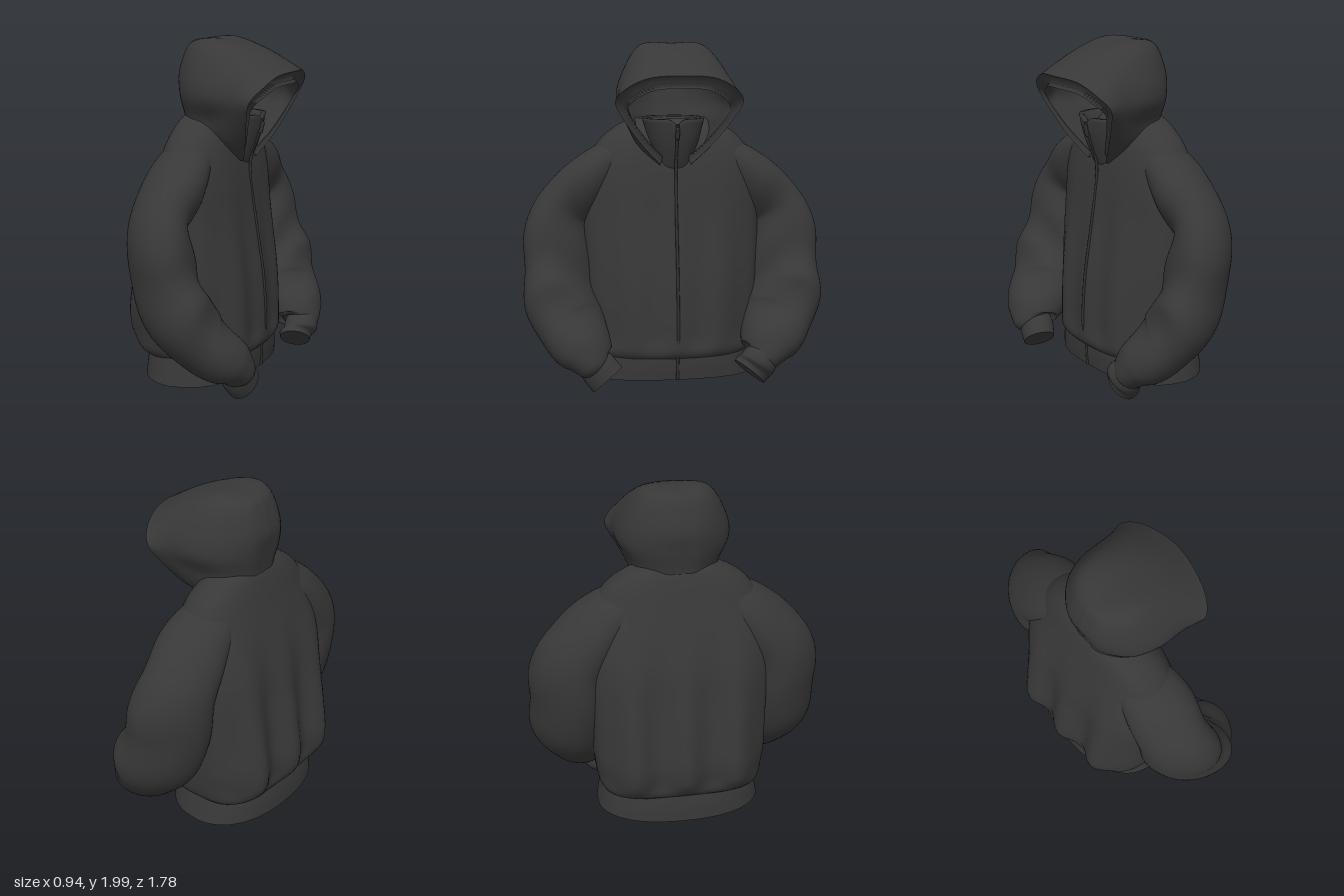
import * as THREE from 'three';

const V = (x, y, z) => new THREE.Vector3(x, y, z);
const { lerp, smoothstep } = THREE.MathUtils;
const spline = pts => new THREE.CatmullRomCurve3(pts, false, 'centripetal');

// Skin a grid of points; closed wraps each row, caps fill the first / last row
function skin(rows, { closed = true, capStart = false, capEnd = false } = {}) {
  const n = rows[0].length, pos = [], idx = [];
  rows.forEach(r => r.forEach(p => pos.push(p.x, p.y, p.z)));
  for (let r = 0; r < rows.length - 1; r++)
    for (let c = 0; c < (closed ? n : n - 1); c++) {
      const a = r * n + c, b = r * n + (c + 1) % n, d = a + n, e = b + n;
      idx.push(a, d, b, b, d, e);
    }
  const cap = (row, flip) => {
    const start = pos.length / 3, mid = V(0, 0, 0);
    row.forEach(p => { mid.addScaledVector(p, 1 / n); pos.push(p.x, p.y, p.z); });
    pos.push(mid.x, mid.y, mid.z);
    for (let c = 0; c < n; c++) {
      const a = start + c, b = start + (c + 1) % n;
      flip ? idx.push(start + n, b, a) : idx.push(start + n, a, b);
    }
  };
  if (capStart) cap(rows[0], false);
  if (capEnd) cap(rows[rows.length - 1], true);
  const g = new THREE.BufferGeometry();
  g.setAttribute('position', new THREE.Float32BufferAttribute(pos, 3));
  g.setIndex(idx);
  g.computeVertexNormals();
  return g;
}

// Horizontal superellipse rings from [y, xBack, xFront, zHalf]; backPower squares the low back
function ringLoft(table, steps, backPower, shape, n = 128) {
  const yx = spline(table.map(t => V(t[0], t[1], t[2])));
  const zs = spline(table.map(t => V(t[0], t[3], 0)));
  const sample = (curve, y) => {
    let lo = 0, hi = 1;
    for (let i = 0; i < 24; i++) {
      const m = (lo + hi) / 2;
      curve.getPoint(m).x < y ? lo = m : hi = m;
    }
    return curve.getPoint(lo);
  };
  const y0 = table[0][0], y1 = table[table.length - 1][0], rows = [];
  for (let i = 0; i <= steps; i++) {
    const y = y0 + (y1 - y0) * i / steps, x = sample(yx, y), h = sample(zs, y).y;
    const row = [];
    for (let c = 0; c < n; c++) {
      const t = c / n * Math.PI * 2, co = Math.cos(t), si = Math.sin(t);
      const e = co < 0 ? lerp(backPower, 2.35, smoothstep(y, 0.8, 1.4)) : 2.5;
      const r = (Math.abs(co) ** e + Math.abs(si) ** e) ** (-1 / e);
      row.push(shape(V((x.y + x.z) / 2 + r * co * (x.z - x.y) / 2, y, r * si * h), co));
    }
    rows.push(row);
  }
  return rows;
}

export function createModel() {
  const group = new THREE.Group();
  const cloth = new THREE.MeshStandardMaterial({ color: 0x383838, side: THREE.DoubleSide });
  cloth.name = 'charcoal cloth';
  const trim = new THREE.MeshStandardMaterial({ color: 0x303030, side: THREE.DoubleSide });
  trim.name = 'dark zip';
  const add = (name, geo, mat = cloth) => {
    const m = new THREE.Mesh(geo, mat);
    m.name = name;
    group.add(m);
  };

  // Torso, with hanging folds gathered at the back and softer ones in front
  const torso = [
    [0.16, -0.36, 0.265, 0.46], [0.2, -0.405, 0.295, 0.49], [0.35, -0.44, 0.297, 0.515],
    [0.6, -0.415, 0.28, 0.525], [0.8, -0.385, 0.25, 0.53], [1.0, -0.355, 0.218, 0.53],
    [1.2, -0.305, 0.19, 0.515], [1.35, -0.26, 0.16, 0.475], [1.45, -0.23, 0.125, 0.405],
    [1.53, -0.2, 0.07, 0.29], [1.56, -0.18, 0.03, 0.21]];
  add('torso', skin(ringLoft(torso, 70, 3.6, (p, co) => {
    const fall = smoothstep(1.35 - p.y, 0, 0.9) * smoothstep(p.y, 0.16, 0.3);
    if (co < 0) p.x -= 0.033 * fall * Math.cos(p.z * Math.PI * 2 / 0.31) * Math.min(1, -co * 2.5);
    else p.x += 0.012 * fall * (Math.cos(p.z * 24) - 1) * Math.min(1, co * 2);
    return p;
  }), { capStart: true, capEnd: true }));

  // Hem band, its lower edge rising toward the front
  const hem = [[0.01, -0.4, 0.265, 0.5], [0.1, -0.395, 0.272, 0.485], [0.19, -0.38, 0.272, 0.47]];
  add('hemBand', skin(ringLoft(hem, 8, 2.3, p => {
    p.y += Math.max(0, p.x + 0.1) * 0.08 * (1 - p.y / 0.19);
    return p;
  }), { capStart: true, capEnd: true }));

  // Sleeves: [x, y, z, half-width front to back, half-width outward]
  const sleeve = [
    [-0.06, 1.36, 0.16, 0.08, 0.06], [-0.06, 1.32, 0.32, 0.165, 0.125],
    [-0.065, 1.17, 0.5, 0.195, 0.165], [-0.075, 0.99, 0.64, 0.185, 0.195],
    [-0.03, 0.75, 0.67, 0.21, 0.213], [0.05, 0.53, 0.665, 0.22, 0.215],
    [0.18, 0.36, 0.61, 0.2, 0.2], [0.3, 0.25, 0.53, 0.16, 0.155],
    [0.335, 0.185, 0.485, 0.125, 0.115], [0.335, 0.18, 0.48, 0.09, 0.09]];
  const cuff = [
    [0.315, 0.2, 0.505, 0.09, 0.09], [0.33, 0.165, 0.48, 0.103, 0.105],
    [0.34, 0.12, 0.45, 0.1, 0.11], [0.35, 0.085, 0.42, 0.092, 0.11]];
  const tube = (table, side, steps, fold, lean) => {
    const path = spline(table.map(t => V(t[0], t[1], t[2])));
    const size = spline(table.map((t, i) => V(t[3], t[4], i * 0.1)));
    const rows = [];
    for (let i = 0; i <= steps; i++) {
      const k = i / steps, c = path.getPoint(k), s = size.getPoint(k), T = path.getTangent(k);
      const U = V(1, 0, 0).addScaledVector(T, -T.x).normalize();
      const W = V(0, 0, 0).crossVectors(T, U), row = [];
      for (let j = 0; j < 64; j++) {
        const a = j / 64 * Math.PI * 2;
        // slanted creases, strongest around the elbow front and forearm
        const ease = Math.sin(Math.PI * k) ** 1.5 * (0.55 + 0.45 * Math.cos(a - 0.4));
        const w = 1 + fold * ease * Math.sin(k * 34 + 2.2 * Math.sin(a) + 1.3 * Math.cos(2 * a));
        const p = c.clone().addScaledVector(U, Math.cos(a) * s.x * w).addScaledVector(W, Math.sin(a) * s.y * w);
        // outer face leans forward; the right forearm is held a little further back
        p.x += lean * Math.sin(a) * Math.sin(Math.PI * k);
        if (side < 0) p.x -= 0.035 * smoothstep(k, 0.5, 0.8);
        p.z *= side;
        p.y = Math.max(p.y, 0);
        row.push(p);
      }
      rows.push(side > 0 ? row : row.reverse());
    }
    return skin(rows.reverse(), { capStart: true, capEnd: true });
  };
  for (const [side, label] of [[1, 'Left'], [-1, 'Right']]) {
    add('sleeve' + label, tube(sleeve, side, 90, 0.07, 0.075));
    add('cuff' + label, tube(cuff, side, 10, 0, 0));
  }

  // Hood: half arches from collar to crown, ordered from the front rim to the back
  const arches = [
    [[0.19, 1.305, 0.09], [0.25, 1.42, 0.2], [0.31, 1.575, 0.315], [0.35, 1.68, 0.365], [0.4, 1.75, 0.31], [0.44, 1.81, 0.19], [0.47, 1.825, 0]],
    [[0.14, 1.3, 0.1], [0.16, 1.42, 0.22], [0.2, 1.57, 0.3], [0.24, 1.68, 0.34], [0.25, 1.8, 0.305], [0.24, 1.91, 0.2], [0.25, 1.945, 0]],
    [[0.1, 1.35, 0.15], [0.06, 1.46, 0.24], [0.05, 1.56, 0.27], [0.05, 1.68, 0.33], [0.04, 1.82, 0.3], [0.03, 1.985, 0.19], [0.03, 1.997, 0]],
    [[0, 1.4, 0.2], [-0.06, 1.48, 0.23], [-0.09, 1.56, 0.23], [-0.1, 1.68, 0.27], [-0.1, 1.82, 0.25], [-0.08, 1.98, 0.17], [-0.08, 1.995, 0]],
    [[-0.15, 1.45, 0.1], [-0.18, 1.5, 0.1], [-0.19, 1.56, 0.1], [-0.21, 1.68, 0.12], [-0.215, 1.8, 0.12], [-0.17, 1.955, 0.09], [-0.155, 1.985, 0]],
    [[-0.17, 1.45, 0], [-0.195, 1.52, 0], [-0.2, 1.56, 0], [-0.22, 1.68, 0], [-0.235, 1.79, 0], [-0.19, 1.95, 0], [-0.17, 1.98, 0]]];
  const bands = arches.map(a => spline([
    ...a.map(p => V(...p)), ...a.slice(0, -1).reverse().map(p => V(p[0], p[1], -p[2]))]));
  const hood = Array.from({ length: 33 }, () => []);
  for (let j = 0; j <= 72; j++) {
    const along = spline(bands.map(b => b.getPoint(j / 72)));
    hood.forEach((row, i) => row.push(along.getPoint(i / 32)));
  }
  add('hood', skin(hood, { closed: false }));

  // Hood lining: a second lip just under the brim, then the inner wall
  const inset = (p, fx, fy, fz) => V(0.05 + (p.x - 0.05) * fx, 1.5 + (p.y - 1.5) * fy, p.z * fz);
  const inner = hood.slice(3).map(r => r.map(p => inset(p, 0.91, 0.86, 0.83)));
  const fold = hood[0].map(p => inset(p, 0.86, 0.88, 0.88));
  const lip = hood[0].map(p => inset(p, 0.95, 0.78, 0.8));
  const rows = [hood[0], fold, lip, ...inner];
  add('hoodLining', skin(rows.map(r => [...r].reverse()), { closed: false }));

  // Stand-up collar inside the hood opening
  const collar = [[1.25, -0.05, 0.16, 0.1], [1.32, -0.08, 0.195, 0.11], [1.45, -0.1, 0.24, 0.15], [1.57, -0.12, 0.262, 0.18]];
  const dip = p => { p.y -= 0.03 * Math.exp(-((p.z / 0.03) ** 2)) * (p.y > 1.5 && p.x > 0 ? 1 : 0); return p; };
  const rings = ringLoft(collar, 14, 2.35, dip);
  const edge = (f, drop) => rings[rings.length - 1].map(p => V(0.07 + (p.x - 0.07) * f, p.y - drop, p.z * f));
  add('collar', skin([...rings, edge(0.88, 0), edge(0.8, 0.06)], { capEnd: true }));

  // Zip: raised placket strip and pull tab
  const line = spline([
    V(0.268, 0.04, 0), V(0.275, 0.18, 0), V(0.297, 0.3, 0), V(0.281, 0.6, 0), V(0.251, 0.8, 0),
    V(0.219, 1.0, 0), V(0.191, 1.2, 0), V(0.197, 1.32, 0), V(0.242, 1.45, 0), V(0.264, 1.54, 0)]);
  add('zip', new THREE.TubeGeometry(line, 80, 0.009, 8), trim);
  const pull = new THREE.CapsuleGeometry(0.012, 0.05, 4, 10);
  pull.rotateZ(-0.25);
  pull.translate(0.262, 1.49, 0);
  add('zipPull', pull, trim);

  return group;
}
